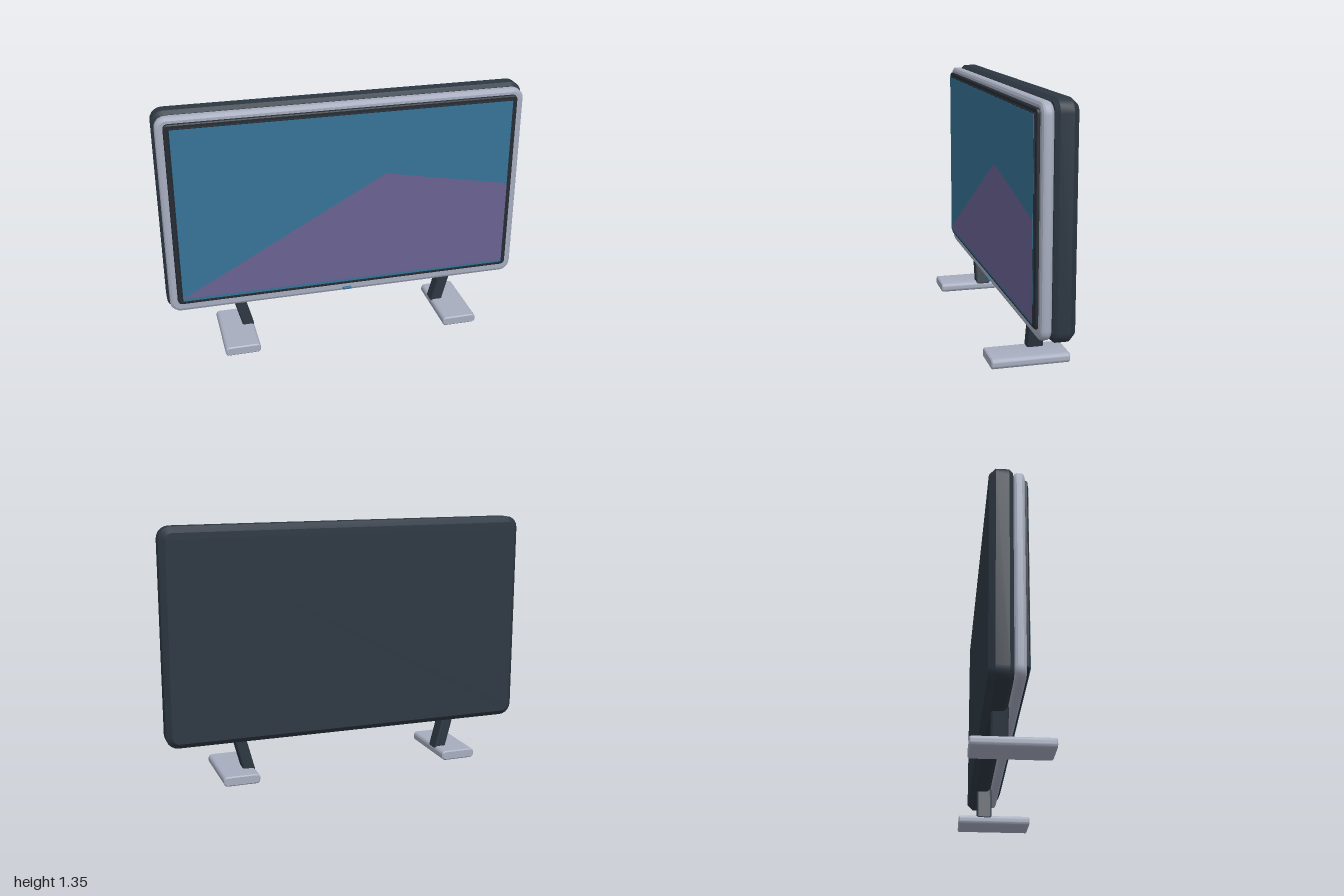
import * as THREE from 'three';
import { toCreasedNormals } from 'three/addons/utils/BufferGeometryUtils.js';
import { RoundedBoxGeometry } from 'three/addons/geometries/RoundedBoxGeometry.js';

const material = (name, color) => {
  const m = new THREE.MeshStandardMaterial({ color });
  m.name = name;
  return m;
};

// Outline of a rounded rectangle, counter-clockwise seen from +z
function roundedRect(w, h, r, steps = 5) {
  const points = [];
  for (let c = 0; c < 4; c++) {
    const sx = c === 0 || c === 3 ? 1 : -1, sy = c < 2 ? 1 : -1;
    for (let i = 0; i <= steps; i++) {
      const a = (c + i / steps) * Math.PI / 2;
      points.push([sx * (w / 2 - r) + r * Math.cos(a), sy * (h / 2 - r) + r * Math.sin(a)]);
    }
  }
  return points;
}

// Solid slab from rounded sections [z, inset], ordered back to front, capped at both ends
function slab(w, h, r, sections) {
  const pos = [], index = [];
  for (const [z, inset] of sections) {
    const ring = roundedRect(w - 2 * inset, h - 2 * inset, Math.max(r - inset, 0.004));
    for (const [x, y] of ring) pos.push(x, y, z);
  }
  const n = pos.length / 3 / sections.length, last = sections.length - 1;
  for (let s = 0; s < last; s++) {
    for (let i = 0; i < n; i++) {
      const a = s * n + i, b = s * n + (i + 1) % n;
      index.push(a, b, b + n, a, b + n, a + n);
    }
  }
  for (let i = 1; i < n - 1; i++) {
    index.push(0, i + 1, i);
    index.push(last * n, last * n + i, last * n + i + 1);
  }
  const g = new THREE.BufferGeometry();
  g.setAttribute('position', new THREE.Float32BufferAttribute(pos, 3));
  g.setIndex(index);
  return toCreasedNormals(g, 0.4);
}

export function createModel() {
  const model = new THREE.Group();
  model.name = 'television';
  const silver = material('silver', 0xa7adbf);
  const darkShell = material('dark shell', 0x2d3742);
  const black = material('black trim', 0x262c34);
  const teal = material('screen teal', 0x367396);
  const purple = material('hill purple', 0x6a6293);

  const add = (name, geometry, mat, x = 0, y = 0, z = 0) => {
    const mesh = new THREE.Mesh(geometry, mat);
    mesh.name = name;
    mesh.position.set(x, y, z);
    model.add(mesh);
    return mesh;
  };

  // Layered body, from the back shell to the screen
  add('backShell', slab(2, 1.146, 0.065,
    [[-0.136, 0.03], [-0.105, 0], [-0.04, 0], [-0.02, 0.018]]), darkShell, 0, 0.779);
  add('frontFrame', slab(1.976, 1.118, 0.06,
    [[-0.022, 0.018], [-0.013, 0.005], [-0.004, 0], [0.022, 0], [0.031, 0.005], [0.037, 0.018]]), silver, 0, 0.779);
  add('screenSurround', slab(1.894, 1.035, 0.025,
    [[0.03, 0.003], [0.04, 0], [0.05, 0.002], [0.053, 0.008], [0.053, 0.022], [0.058, 0.024]]), black, 0, 0.79);
  add('screen', slab(1.836, 0.985, 0.006, [[0.055, 0], [0.0595, 0]]), teal, 0, 0.787);

  // Picture of a hill on the screen
  const hill = new THREE.Shape();
  hill.moveTo(-0.916, 0.312);
  hill.lineTo(0.918, 0.308);
  hill.lineTo(0.918, 0.795);
  hill.lineTo(0.21, 0.93);
  hill.closePath();
  add('screenHill', new THREE.ShapeGeometry(hill), purple, 0, 0, 0.0612);

  // Small sensor below the screen
  add('sensor', new RoundedBoxGeometry(0.05, 0.014, 0.018, 1, 0.004), teal, 0, 0.241, 0.041);

  // Slanted legs on flat feet, mirrored
  for (const [side, s] of [['left', 1], ['right', -1]]) {
    const leg = new RoundedBoxGeometry(0.064, 0.21, 0.085, 1, 0.01);
    const p = leg.attributes.position;
    for (let i = 0; i < p.count; i++) p.setX(i, p.getX(i) + s * 0.265 * p.getY(i));
    leg.computeVertexNormals();
    add(side + 'Leg', leg, darkShell, s * 0.586, 0.14, -0.057);
    add(side + 'Foot', slab(0.194, 0.052, 0.02,
      [[-0.202, 0.006], [-0.196, 0], [0.196, 0], [0.202, 0.006]]), silver, s * 0.625, 0.026);
  }
  return model;
}
